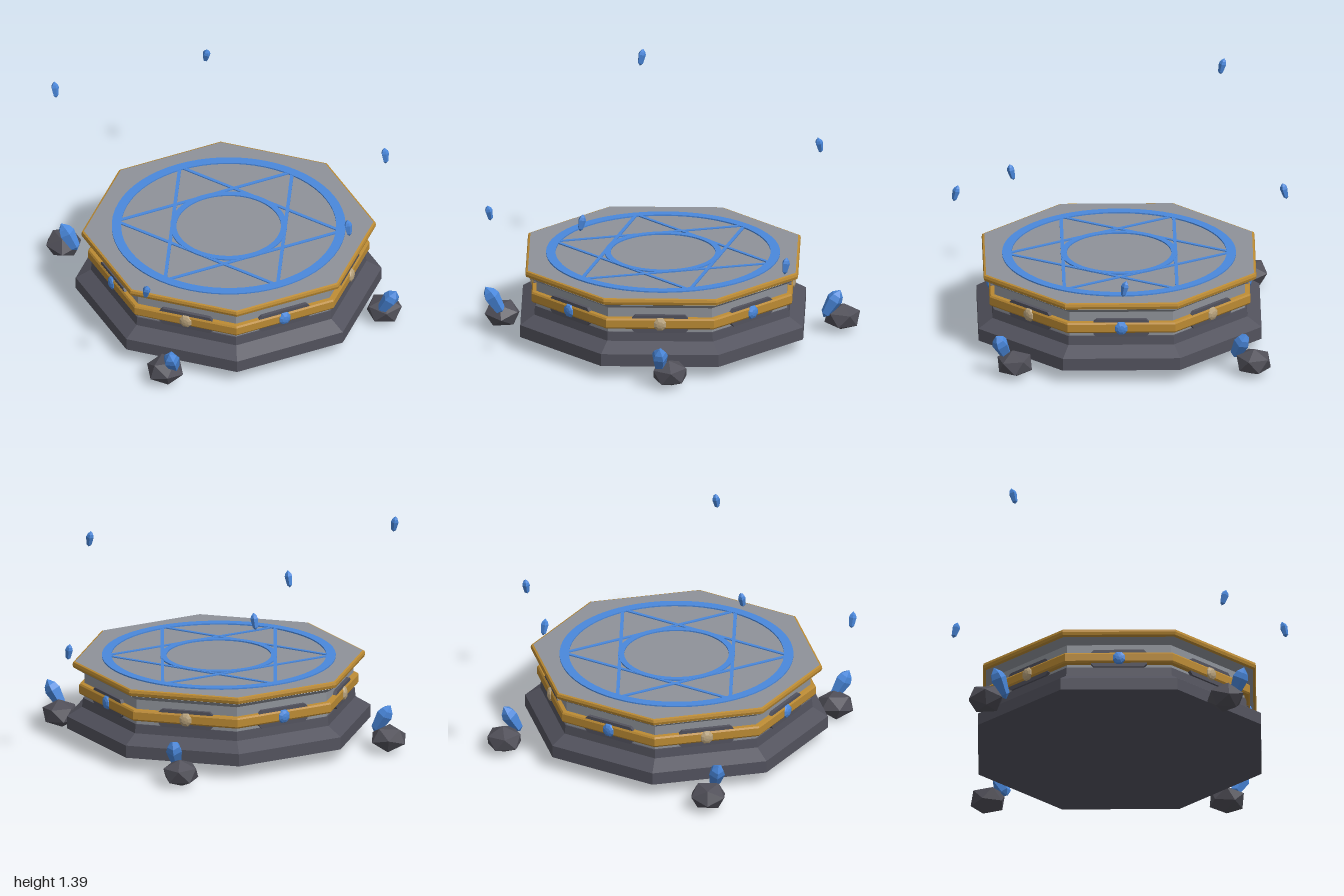
import * as THREE from 'three';

const mat = (name, color) => {
  const m = new THREE.MeshStandardMaterial({ color, flatShading: true });
  m.name = name;
  return m;
};

export function createModel() {
  const darkStone = mat('darkStone', 0x52525d);
  const greyStone = mat('greyStone', 0x8e9299);
  const gold = mat('gold', 0xbb8a33);
  const blue = mat('blueCrystal', 0x4a88dc);
  const tan = mat('tanGem', 0xb8a27c);
  const rockGrey = mat('rock', 0x504f58);

  const model = new THREE.Group();
  model.name = 'ritualPlatform';
  const platform = new THREE.Group();
  platform.name = 'platform';
  platform.position.x = -0.1;
  model.add(platform);

  const add = (parent, name, geometry, material) => {
    const mesh = new THREE.Mesh(geometry, material);
    mesh.name = name;
    parent.add(mesh);
    return mesh;
  };

  // Octagonal solid from [apothem, y] points, listed from bottom to top
  const octagon = (name, points, material) => {
    const k = 1 / Math.cos(Math.PI / 8);
    const profile = points.map(([a, y]) => new THREE.Vector2(a * k, y));
    return add(platform, name, new THREE.LatheGeometry(profile, 8, Math.PI / 8), material);
  };

  // Stone tiers and gold mouldings
  octagon('base', [[0, 0.08], [0.838, 0.08], [0.838, 0.155], [0.755, 0.21], [0.75, 0.265], [0.7, 0.265]], darkStone);
  octagon('wall', [[0.742, 0.26], [0.742, 0.415], [0.79, 0.447]], greyStone);
  octagon('goldBand', [[0.74, 0.285], [0.765, 0.29], [0.772, 0.3], [0.772, 0.345], [0.765, 0.355], [0.74, 0.358]], gold);
  octagon('goldRim', [[0.78, 0.445], [0.803, 0.455], [0.808, 0.472], [0.804, 0.488], [0.793, 0.492]], gold);
  octagon('topSlab', [[0.793, 0.492], [0, 0.492]], greyStone);

  // Chamfered bracket and gem on each of the eight faces
  const w = 0.165, h = 0.055, c = 0.018;
  const plate = new THREE.Shape([
    [-w + c, -h], [w - c, -h], [w, -h + c], [w, h - c], [w - c, h], [-w + c, h], [-w, h - c], [-w, -h + c],
  ].map(([x, y]) => new THREE.Vector2(x, y)));
  const bracketGeo = new THREE.ExtrudeGeometry(plate, { depth: 0.03, bevelEnabled: false });
  const gemGeo = new THREE.SphereGeometry(0.043, 8, 6).rotateX(Math.PI / 2).rotateZ(Math.PI / 8).scale(1, 1, 0.5);
  for (let i = 0; i < 8; i++) {
    const side = new THREE.Group();
    side.name = 'sideOrnament';
    side.rotation.y = (i * Math.PI) / 4;
    platform.add(side);
    add(side, 'bracket', bracketGeo, darkStone).position.set(0, 0.32, 0.734);
    add(side, 'gem', gemGeo, i % 2 ? tan : blue).position.set(0, 0.32, 0.766);
  }

  // Inlaid circles
  const ring = (name, inner, outer) => {
    const p = [[inner, 0.49], [outer, 0.49], [outer, 0.5], [inner, 0.5], [inner, 0.49]];
    add(platform, name, new THREE.LatheGeometry(p.map(([x, y]) => new THREE.Vector2(x, y)), 64), blue);
  };
  ring('outerCircle', 0.637, 0.693);
  ring('innerCircle', 0.31, 0.346);

  // Six-pointed star from six bars
  const barGeo = new THREE.BoxGeometry(1.155, 0.009, 0.02);
  for (let i = 0; i < 6; i++) {
    const arm = new THREE.Group();
    arm.name = 'starLine';
    arm.rotation.y = (i * Math.PI) / 3;
    add(arm, 'starBar', barGeo, blue).position.set(0, 0.494, 0.334);
    platform.add(arm);
  }

  // Five-sided crystal, unit length and unit half width
  const crystalGeo = (length, radius) => new THREE.LatheGeometry(
    [[0, -0.5], [0.65, -0.36], [1, 0.15], [0.75, 0.32], [0, 0.5]]
      .map(([r, y]) => new THREE.Vector2(r * radius, y * length)), 5);

  // Corner rocks, each with a crystal leaning outwards
  const cornerCrystal = crystalGeo(0.2, 0.05);
  const rocks = [[-0.805, -0.79, 0.3], [0.615, -0.785, 1.1], [0.62, 0.63, 2.0], [-0.82, 0.63, 2.9]];
  for (const [x, z, turn] of rocks) {
    const geo = new THREE.IcosahedronGeometry(0.115, 0)
      .rotateX(turn).rotateY(turn * 1.7).scale(1, 0.72, 1);
    add(model, 'rock', geo, rockGrey).position.set(x, 0.083, z);
    const sx = Math.sign(x), sz = Math.sign(z);
    const crystal = add(model, 'rockCrystal', cornerCrystal, blue);
    crystal.position.set(-0.1 + sx * 0.71, 0.182, sz * 0.705);
    crystal.quaternion.setFromUnitVectors(
      new THREE.Vector3(0, 1, 0), new THREE.Vector3(sx * 0.42, 1, sz * 0.42).normalize());
  }

  // Floating shards
  const shardGeo = crystalGeo(0.104, 0.024);
  const shards = [
    [0.22, 1.01, -0.975, 0.25], [0.22, 1.01, 0.972, -0.25], [-0.94, 1.345, -0.625, -0.25],
    [-0.94, 0.678, 0.622, 0.25], [0.935, 0.678, -0.015, -0.2],
  ];
  for (const [x, y, z, tilt] of shards) {
    const shard = add(model, 'floatingShard', shardGeo, blue);
    shard.position.set(x, y, z);
    shard.rotation.x = tilt;
  }
  return model;
}
